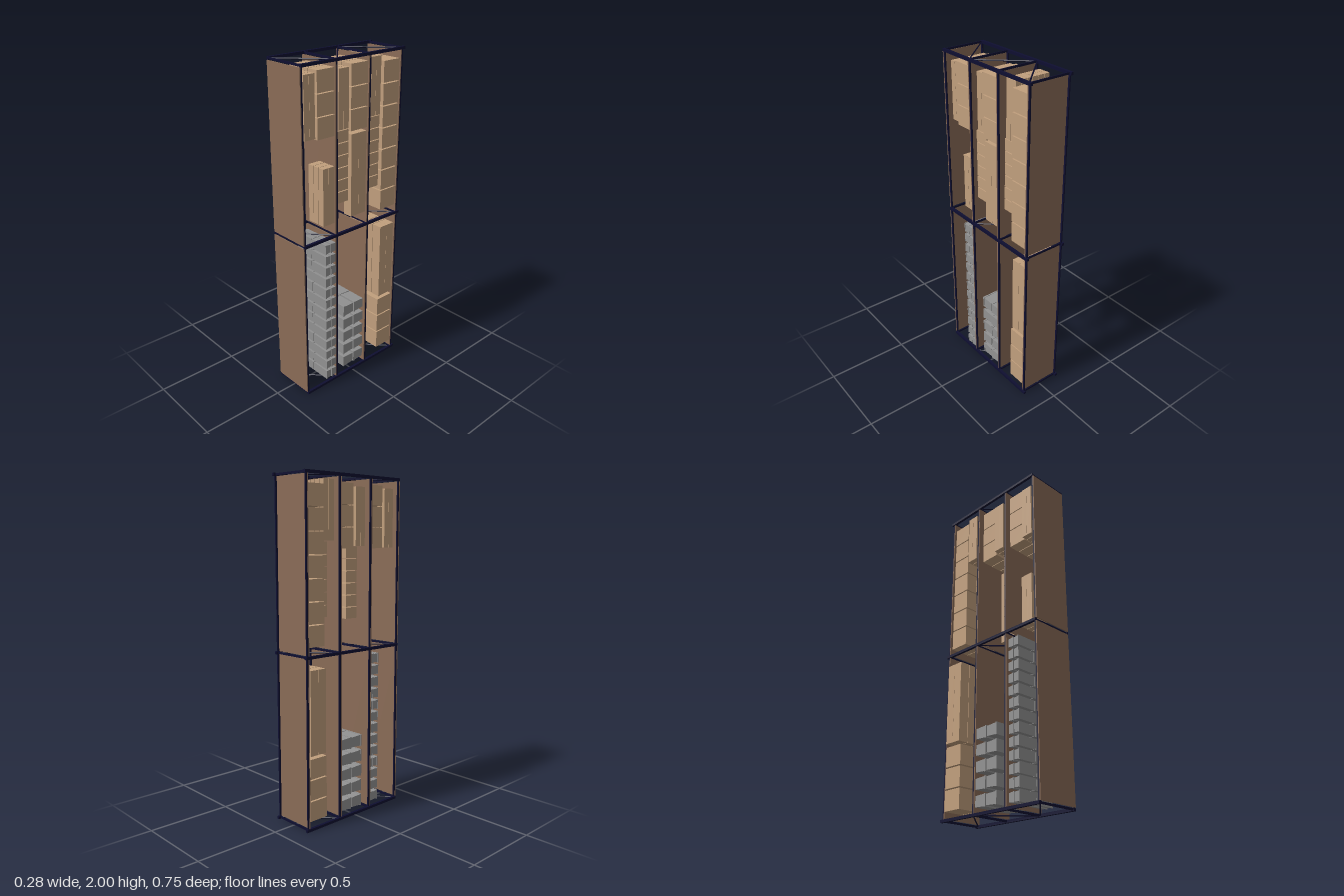
import * as THREE from 'three';

const mat = (name, color, extra = {}) => {
  const m = new THREE.MeshStandardMaterial({ color, ...extra });
  m.name = name;
  return m;
};

export function createModel() {
  const root = new THREE.Group();
  root.name = 'storageRack';
  const navy = mat('navySteel', 0x0e0e30);
  const brown = mat('brownBoard', 0x8a6c57);
  const card = mat('cardboard', 0xc19f7d);
  const grey = mat('greyPlastic', 0x929292);

  // box given by its extents on each axis
  function block(parent, name, material, [x0, x1], [y0, y1], [z0, z1]) {
    const mesh = new THREE.Mesh(new THREE.BoxGeometry(x1 - x0, y1 - y0, z1 - z0), material);
    mesh.position.set((x0 + x1) / 2, (y0 + y1) / 2, (z0 + z1) / 2);
    mesh.name = name;
    parent.add(mesh);
    return mesh;
  }

  // split a range into n cells with a gap between them
  function cells([a, b, n], gap) {
    const size = (b - a - gap * (n - 1)) / n;
    return Array.from({ length: n }, (_, i) => [a + i * (size + gap), a + i * (size + gap) + size]);
  }

  function stack(name, xs, ys, zs, gaps, make) {
    const group = new THREE.Group();
    group.name = name;
    for (const x of cells(xs, gaps[0]))
      for (const y of cells(ys, gaps[1]))
        for (const z of cells(zs, gaps[2])) make(group, x, y, z);
    root.add(group);
  }

  const cartons = (name, xs, ys, zs, gaps = [0.003, 0.005, 0.001]) =>
    stack(name, xs, ys, zs, gaps, (g, x, y, z) => block(g, 'carton', card, x, y, z));

  // bin: body narrowing towards its base at low z, with a rim around the mouth
  function bin(group, x, y, z) {
    const depth = z[1] - z[0];
    const body = block(group, 'binBody', grey, x, [y[0] + 0.002, y[1] - 0.002], z);
    const p = body.geometry.attributes.position;
    for (let i = 0; i < p.count; i++) {
      if (p.getZ(i) < 0) {
        p.setX(i, p.getX(i) * 0.97);
        p.setY(i, p.getY(i) * 0.88);
      }
    }
    body.geometry.computeVertexNormals();
    block(group, 'binRim', grey, [x[0] - 0.001, x[1] + 0.001], y, [z[1] - depth * 0.12, z[1]]);
  }

  // side frames: rails, cross bars and diagonal braces
  const levels = [0.011, 1.003, 1.991];
  const shelves = [-0.358, -0.113, 0.129, 0.363];
  const braces = [
    [-0.122, -0.12, 0.124, -0.35],
    [-0.122, -0.107, 0.124, 0.12],
    [-0.122, 0.36, 0.124, 0.135],
  ];
  for (const y of levels) {
    const frame = new THREE.Group();
    frame.name = 'frame';
    root.add(frame);
    for (const s of [-1, 1]) {
      const x = s * 0.13;
      block(frame, 'rail', navy, [x - 0.008, x + 0.008], [y - 0.008, y + 0.008], [-0.375, 0.367]);
    }
    for (const z of shelves)
      block(frame, 'crossBar', navy, [-0.125, 0.125], [y - 0.006, y + 0.006], [z - 0.003, z + 0.003]);
    for (const [x0, z0, x1, z1] of braces) {
      const a = new THREE.Vector3(x0, y, z0), b = new THREE.Vector3(x1, y, z1);
      const d = b.clone().sub(a);
      const brace = new THREE.Mesh(new THREE.BoxGeometry(0.006, d.length(), 0.006), navy);
      brace.position.copy(a).add(b).multiplyScalar(0.5);
      brace.quaternion.setFromUnitVectors(new THREE.Vector3(0, 1, 0), d.normalize());
      brace.name = 'diagonalBrace';
      frame.add(brace);
    }
  }

  // shelf boards and the long beams along their edges
  for (const z of shelves) {
    for (const s of [-1, 1]) {
      const x = s * 0.127;
      block(root, 'shelfBeam', navy, [x - 0.004, x + 0.004], [0.01, 1.99], [z - 0.007, z + 0.006]);
    }
    for (const [y0, y1] of [[0.02, 0.994], [1.012, 1.982]])
      block(root, 'shelfBoard', brown, [-0.132, 0.132], [y0, y1], [z + 0.004, z + 0.01]);
  }

  // rear shelf, upper bay
  cartons('rearLargeCartons', [-0.118, 0.125, 2], [1.055, 1.935, 7], [-0.347, -0.225, 1], [0.004, 0.007, 0]);
  cartons('rearMediumCartons', [-0.04, 0.1, 2], [1.205, 1.63, 6], [-0.224, -0.133, 1]);
  cartons('rearThinCartons', [-0.115, 0.103, 6], [1.635, 1.963, 1], [-0.224, -0.149, 2]);
  // rear shelf, lower bay
  cartons('rearLowCartons', [-0.134, 0.125, 2], [0.06, 0.425, 3], [-0.347, -0.225, 1], [0.004, 0.008, 0]);
  cartons('rearTallCartons', [-0.14, 0.122, 4], [0.445, 0.932, 1], [-0.347, -0.235, 2]);

  // middle shelf, upper bay
  cartons('middleLargeCartons', [-0.097, 0.125, 3], [1.59, 1.953, 3], [-0.102, 0.02, 1], [0.004, 0.006, 0]);
  cartons('middleThinCartons', [-0.115, 0.108, 6], [1.605, 1.935, 1], [0.021, 0.094, 2]);
  cartons('middleMediumCartons', [-0.035, 0.106, 2], [1.18, 1.6, 6], [0.021, 0.11, 1]);
  cartons('middleTallCartons', [0.065, 0.122, 1], [1.08, 1.57, 1], [-0.102, 0.012, 2]);
  // middle shelf, lower bay
  stack('middleBins', [-0.128, 0.118, 2], [0.045, 0.49, 5], [-0.102, 0.062, 2], [0.004, 0.022, 0.006], bin);

  // front shelf, upper bay
  cartons('frontLargeCartons', [-0.097, 0.125, 3], [1.59, 1.953, 3], [0.139, 0.258, 1], [0.004, 0.006, 0]);
  cartons('frontThinCartons', [-0.115, 0.108, 6], [1.595, 1.937, 1], [0.259, 0.332, 2]);
  cartons('frontTallCartons', [0.0, 0.122, 3], [1.08, 1.418, 1], [0.139, 0.22, 2]);
  // front shelf, lower bay
  stack('frontBins', [-0.115, 0.134, 2], [0.038, 0.966, 13], [0.139, 0.217, 2], [0.004, 0.013, 0.003], bin);

  return root;
}
